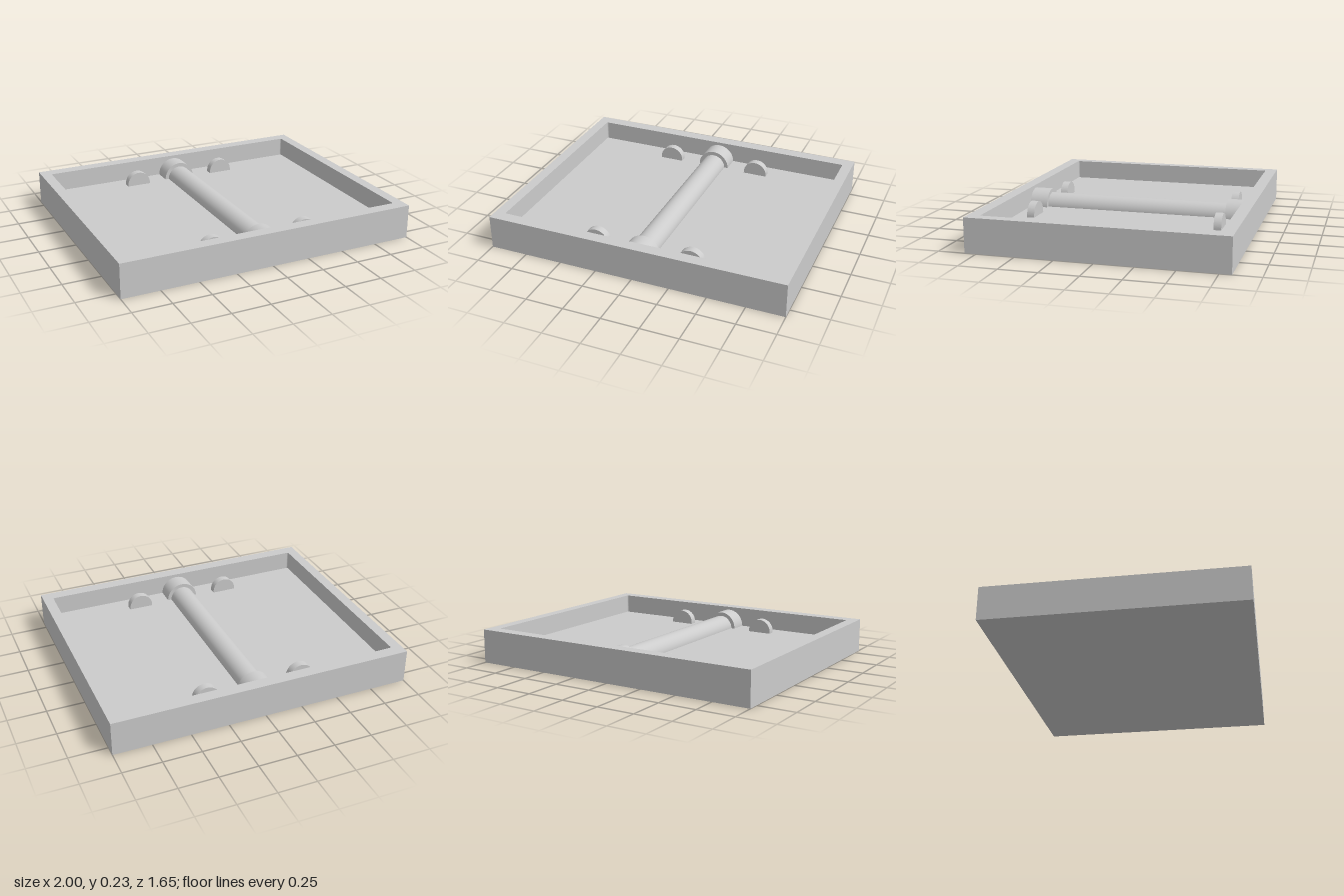
import * as THREE from 'three';

const W = 2, D = 1.65, H = 0.226;      // tray outside
const IN_X = 0.93, IN_Z = 0.745;       // recess half sizes
const FLOOR = 0.095;                   // recess floor height

export function createModel() {
  const model = new THREE.Group();
  const material = new THREE.MeshStandardMaterial({ color: 0xcccccc });
  const add = (name, geometry, x = 0, y = 0, z = 0) => {
    const mesh = new THREE.Mesh(geometry, material);
    mesh.name = name;
    mesh.position.set(x, y, z);
    model.add(mesh);
  };

  // Solid base whose top is the recess floor
  add('base', new THREE.BoxGeometry(W, FLOOR, D), 0, FLOOR / 2, 0);

  // Raised rim with slightly rounded inner corners
  const rim = new THREE.Shape([
    new THREE.Vector2(-W / 2, -D / 2), new THREE.Vector2(W / 2, -D / 2),
    new THREE.Vector2(W / 2, D / 2), new THREE.Vector2(-W / 2, D / 2),
  ]);
  const r = 0.01, hole = new THREE.Path();
  [[1, 1], [-1, 1], [-1, -1], [1, -1]].forEach(([sx, sz], i) => {
    hole.absarc(sx * (IN_X - r), sz * (IN_Z - r), r, i * Math.PI / 2, (i + 1) * Math.PI / 2);
  });
  hole.closePath();
  rim.holes.push(hole);
  const rimGeometry = new THREE.ExtrudeGeometry(rim, { depth: H - FLOOR, bevelEnabled: false, curveSegments: 6 });
  add('rim', rimGeometry.rotateX(-Math.PI / 2), 0, FLOOR, 0);

  // Half-round bar lying on the floor, with a thicker collar at each end
  const halfRound = (radius, length) =>
    new THREE.CylinderGeometry(radius, radius, length, 32, 1, false, Math.PI / 2, Math.PI).rotateX(Math.PI / 2);
  const collar = 0.122;
  add('bar', halfRound(0.084, 2 * (IN_Z - collar)), 0, FLOOR, 0);
  for (const s of [-1, 1]) add('collar', halfRound(0.11, collar), 0, FLOOR, s * (IN_Z - collar / 2));

  // Four upright round-topped tabs
  const R = 0.083, foot = 0.01, thick = 0.05;
  const tab = new THREE.Shape();
  tab.moveTo(-R, 0);
  tab.lineTo(R, 0);
  tab.absarc(0, foot, R, 0, Math.PI);
  tab.closePath();
  const tabGeometry = new THREE.ExtrudeGeometry(tab, { depth: thick, bevelEnabled: false, curveSegments: 24 });
  tabGeometry.translate(0, 0, -thick / 2);
  for (const x of [-0.326, 0.326]) {
    for (const z of [-0.628, 0.625]) add('tab', tabGeometry, x, FLOOR, z);
  }
  return model;
}
